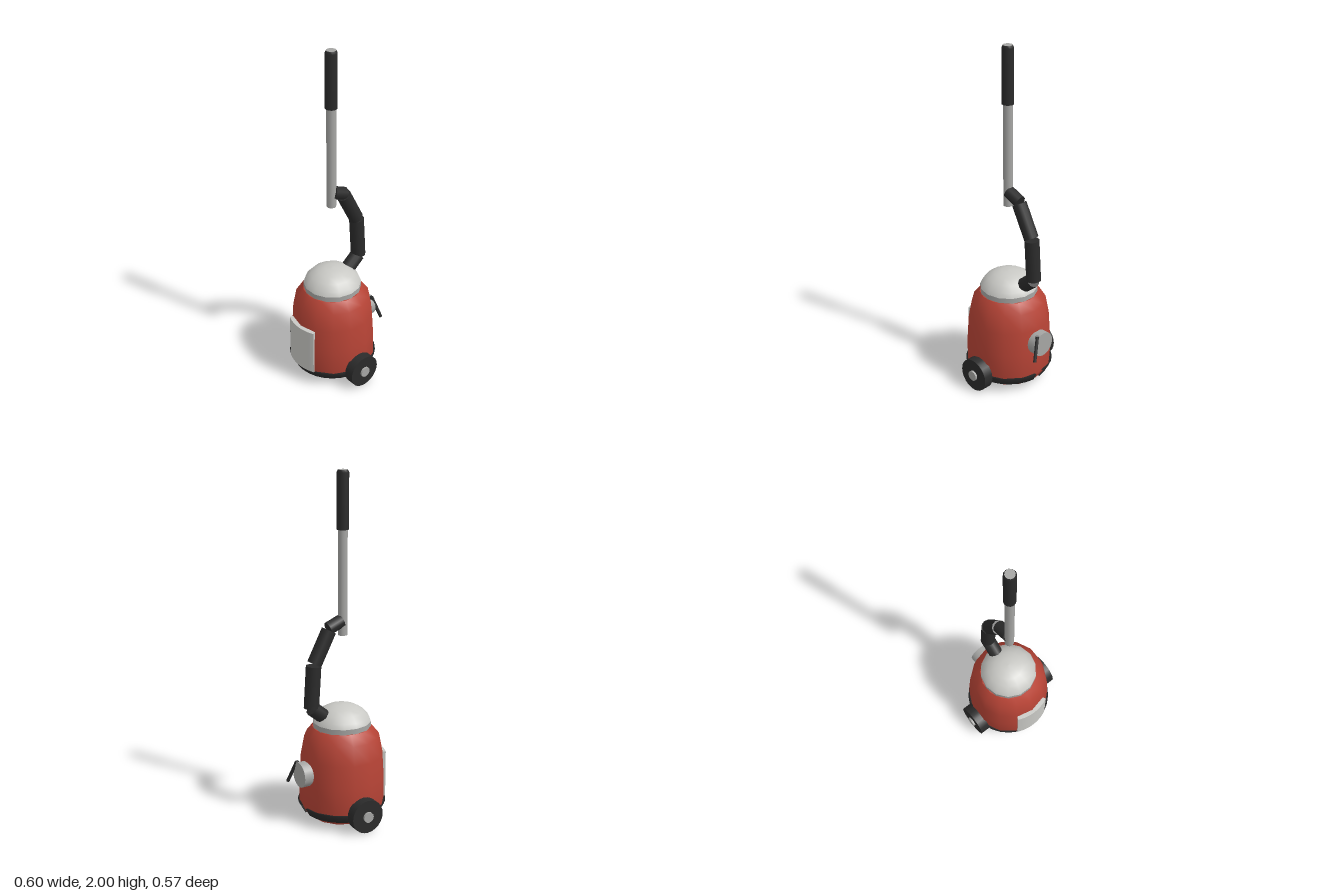
import * as THREE from 'three';

const mat = (name, color, side = THREE.FrontSide) => {
  const m = new THREE.MeshStandardMaterial({ color, side });
  m.name = name;
  return m;
};

export function createModel() {
  const group = new THREE.Group();
  const red = mat('red shell', 0xb84436);
  const black = mat('black rubber', 0x2b2b2b, THREE.DoubleSide);
  const pale = mat('pale plastic', 0xc9c9c5);
  const grey = mat('grey metal', 0xa6a6a4);
  const CZ = 0.025; // body axis

  const add = (name, geo, material, x = 0, y = 0, z = 0) => {
    const mesh = new THREE.Mesh(geo, material);
    mesh.name = name;
    mesh.position.set(x, y, z);
    group.add(mesh);
    return mesh;
  };
  const lathe = (pts, sides, start = 0, length = Math.PI * 2) =>
    new THREE.LatheGeometry(pts.map(p => new THREE.Vector2(...p)), sides, start, length);

  // Cylinder running from point a to point b
  const rod = (name, a, b, r, material, sides = 12) => {
    const from = new THREE.Vector3(...a), to = new THREE.Vector3(...b);
    const dir = to.clone().sub(from);
    const mesh = add(name, new THREE.CylinderGeometry(r, r, dir.length(), sides), material);
    mesh.position.copy(from).add(to).multiplyScalar(0.5);
    mesh.quaternion.setFromUnitVectors(new THREE.Vector3(0, 1, 0), dir.normalize());
    return mesh;
  };

  // Body shell, flat underside and top
  add('body', lathe([[0.19, 0.02], [0.222, 0.05], [0.247, 0.1], [0.245, 0.25], [0.236, 0.39],
    [0.215, 0.5], [0.17, 0.555]], 14), red, 0, 0, CZ);
  add('underside', new THREE.CircleGeometry(0.19, 14, Math.PI / 2).rotateX(Math.PI / 2), red, 0, 0.02, CZ);
  add('bodyTop', new THREE.CircleGeometry(0.17, 14, Math.PI / 2).rotateX(-Math.PI / 2), red, 0, 0.555, CZ);

  // Bumper band, open for a short stretch at the back
  const gap = 0.11;
  add('bumper', lathe([[0.2, 0.05], [0.229, 0.05], [0.256, 0.1], [0.235, 0.1]], 28,
    Math.PI + gap, Math.PI * 2 - 2 * gap), black, 0, 0, CZ);

  // Lid: rim and dome
  add('lidRim', lathe([[0.167, 0.553], [0.167, 0.585]], 14, Math.PI / 2), grey, 0, 0, CZ);
  add('lidDome', lathe([[0.167, 0.585], [0.155, 0.612], [0.125, 0.645], [0.085, 0.668],
    [0.042, 0.68], [0, 0.682]], 14, Math.PI / 2), pale, 0, 0, CZ);

  // Curved front panel
  const half = 0.435, down = -Math.PI / 2;
  const sector = new THREE.Shape();
  sector.absarc(0, 0, 0.257, down - half, down + half, false);
  sector.absarc(0, 0, 0.225, down + half, down - half, true);
  const panel = new THREE.ExtrudeGeometry(sector, { depth: 0.28, bevelEnabled: false, curveSegments: 10 });
  add('frontPanel', panel.rotateX(-Math.PI / 2), pale, 0, 0.1, CZ);

  // Wheels with hubs
  for (const s of [-1, 1]) {
    rod('wheel', [s * 0.232, 0.098, CZ], [s * 0.29, 0.098, CZ], 0.098, black, 24);
    rod('wheelHub', [s * 0.22, 0.098, CZ], [s * 0.302, 0.098, CZ], 0.031, grey, 12);
  }

  // Rear outlet with a hanging cord stub
  rod('rearOutlet', [0, 0.305, -0.15], [0, 0.305, -0.255], 0.073, grey, 20);
  rod('cordRoot', [0.035, 0.355, -0.235], [0.045, 0.37, -0.25], 0.012, black, 8);
  rod('cord', [0.043, 0.37, -0.247], [0.095, 0.238, -0.278], 0.01, black, 8);

  // Hose in straight sections: [z, y] start and end
  const hose = [
    [-0.09, 0.625, -0.168, 0.69, 0.042],
    [-0.172, 0.693, -0.156, 0.937, 0.043],
    [-0.151, 0.947, -0.058, 1.127, 0.042],
    [-0.062, 1.137, 0.022, 1.172, 0.037],
  ];
  for (const [z0, y0, z1, y1, r] of hose) rod('hoseSection', [0, y0, z0], [0, y1, z1], r, black);

  // Wand and grip
  rod('wand', [0, 1.09, 0.03], [0, 2, 0.03], 0.027, grey, 12);
  add('grip', lathe([[0.026, 1.678], [0.034, 1.68], [0.034, 1.985], [0.027, 1.999]], 12), black, 0, 0, 0.03);

  return group;
}
